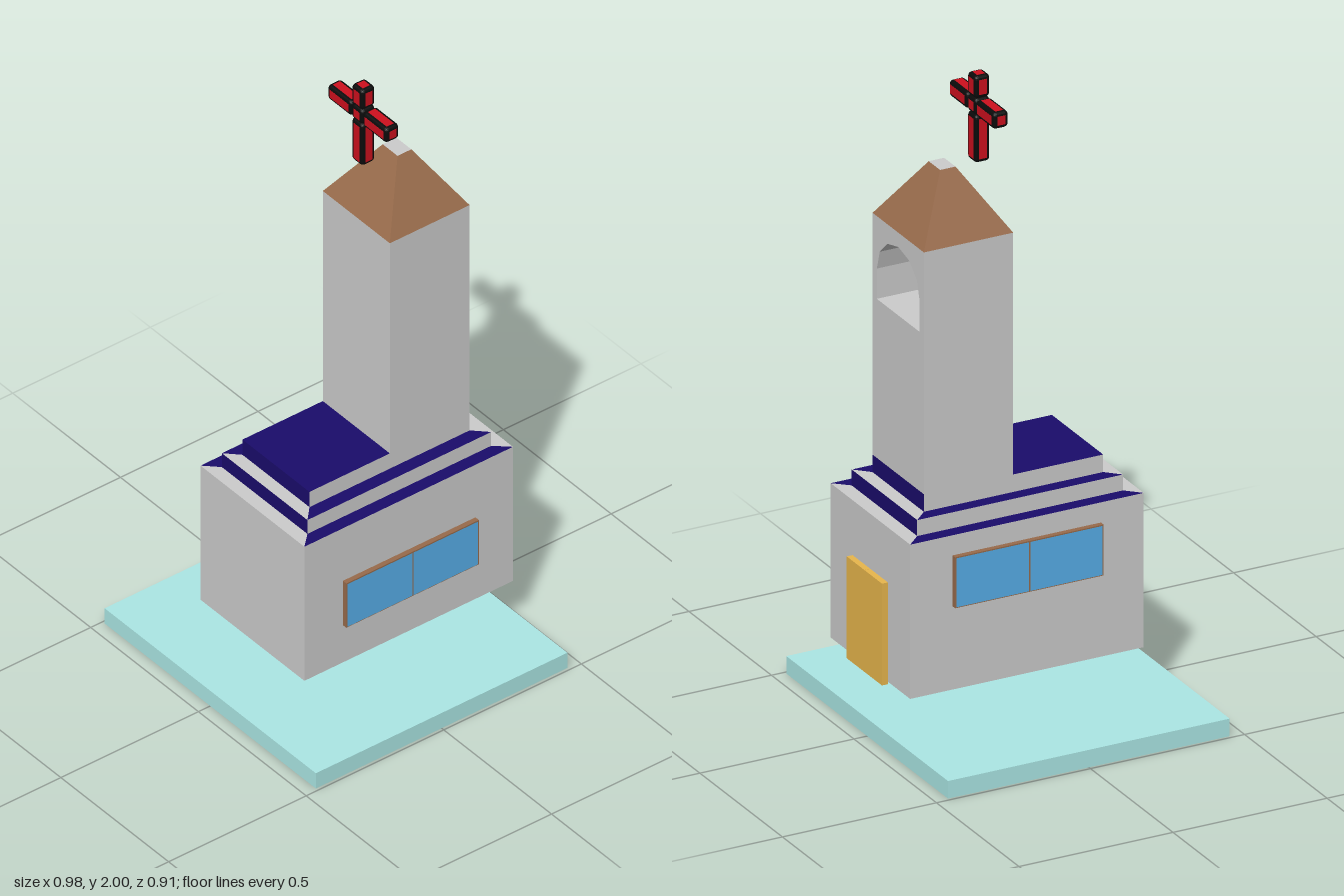
import * as THREE from 'three';
import { RoundedBoxGeometry } from 'three/addons/geometries/RoundedBoxGeometry.js';

const mat = (color) => new THREE.MeshStandardMaterial({ color, flatShading: true });

export function createModel() {
  const model = new THREE.Group();
  const grey = mat(0xcccccc), navy = mat(0x1a0c6b), brown = mat(0x986b4b);
  const teal = mat(0xabe7e5), blue = mat(0x57aee8), gold = mat(0xe8b64c);
  const red = mat(0xce101e), black = mat(0x0a0a0a);

  const add = (name, geometry, material, parent = model) => {
    const mesh = new THREE.Mesh(geometry, material);
    mesh.name = name;
    parent.add(mesh);
    return mesh;
  };

  // Box given by its extents along each axis
  const box = (name, [x0, x1], [y0, y1], [z0, z1], material, parent) => {
    const mesh = add(name, new THREE.BoxGeometry(x1 - x0, y1 - y0, z1 - z0), material, parent);
    mesh.position.set((x0 + x1) / 2, (y0 + y1) / 2, (z0 + z1) / 2);
    return mesh;
  };

  // Four quads joining two rectangles [x0, x1, z0, z1]; group 0 = front/back, 1 = sides
  const band = (name, a, ya, b, yb, materials) => {
    const ring = ([x0, x1, z0, z1], y) => [[x0, y, z1], [x1, y, z1], [x1, y, z0], [x0, y, z0]];
    const lo = ring(a, ya), hi = ring(b, yb), pos = [];
    const geometry = new THREE.BufferGeometry();
    for (let i = 0; i < 4; i++) {
      const j = (i + 1) % 4;
      for (const p of [lo[i], lo[j], hi[j], lo[i], hi[j], hi[i]]) pos.push(...p);
      geometry.addGroup(i * 6, 6, i % 2);
    }
    geometry.setAttribute('position', new THREE.Float32BufferAttribute(pos, 3));
    geometry.computeVertexNormals();
    return add(name, geometry, materials);
  };

  // Horizontal plate facing up or down
  const plate = (name, [x0, x1, z0, z1], y, material, up = true) => {
    const mesh = add(name, new THREE.PlaneGeometry(x1 - x0, z1 - z0), material);
    mesh.rotation.x = up ? -Math.PI / 2 : Math.PI / 2;
    mesh.position.set((x0 + x1) / 2, y, (z0 + z1) / 2);
  };

  // Ground slab
  box('groundSlab', [-0.49, 0.49], [0, 0.055], [-0.457, 0.457], teal);

  // Main hall and stepped roof, with mitred treads
  const levels = [
    { r: [-0.21, 0.272, -0.43, 0.328], y0: 0.195, y1: 0.68 },
    { r: [-0.167, 0.23, -0.384, 0.284], y0: 0.68, y1: 0.73 },
    { r: [-0.125, 0.186, -0.34, 0.242], y0: 0.73, y1: 0.785 },
  ];
  levels.forEach(({ r, y0, y1 }, i) => {
    band(i ? 'roofRiser' : 'hallWalls', r, y0, r, y1, i ? [navy, grey] : [grey, grey]);
    if (i < 2) band('roofTread', r, y1, levels[i + 1].r, y1, [grey, navy]);
  });
  plate('hallFloor', levels[0].r, 0.195, grey, false);
  plate('roofTop', levels[2].r, 0.785, navy);

  // Bell tower: arched niche open at the back, closed by a front wall
  const section = new THREE.Shape();
  section.moveTo(-0.125, 0.785).lineTo(0.186, 0.785).lineTo(0.186, 1.545).lineTo(-0.125, 1.545);
  const arch = new THREE.Path();
  arch.moveTo(0.16, 1.285);
  for (let i = 0; i <= 6; i++) {
    const t = (i / 6) * Math.PI;
    arch.lineTo(0.03 + 0.13 * Math.cos(t), 1.38 + 0.12 * Math.sin(t));
  }
  arch.lineTo(-0.1, 1.285);
  section.holes.push(arch);
  const tower = add('tower', new THREE.ExtrudeGeometry(section, { depth: 0.27, bevelEnabled: false }), grey);
  tower.position.z = -0.34;
  box('towerFrontWall', [-0.125, 0.186], [0.785, 1.545], [-0.07, -0.05], grey);

  // Tower roof with a flat cap
  const cap = [-0.003, 0.066, -0.222, -0.172];
  band('towerRoof', [-0.125, 0.186, -0.34, -0.05], 1.545, cap, 1.73, [brown, brown]);
  plate('towerRoofCap', cap, 1.73, grey);

  // Side windows: brown frame with two panes on the outer face
  const sideWindow = (name, x, y, z, side) => {
    const group = new THREE.Group();
    group.name = name;
    group.position.set(x, y, z);
    box('windowFrame', [-0.008, 0.008], [-0.08, 0.08], [-0.241, 0.241], brown, group);
    for (const s of [-1, 1]) {
      const pane = add('windowPane', new THREE.PlaneGeometry(0.235, 0.154), blue, group);
      pane.rotation.y = side * Math.PI / 2;
      pane.position.set(side * 0.0095, 0, s * 0.1195);
    }
    model.add(group);
  };
  sideWindow('rightWindow', 0.281, 0.411, -0.052, 1);
  sideWindow('leftWindow', -0.234, 0.545, -0.06, -1);

  // Double door on the back
  box('doorLeaf', [-0.09, 0.0165], [0.195, 0.515], [-0.457, -0.438], gold);
  box('doorLeaf', [0.0175, 0.124], [0.195, 0.515], [-0.457, -0.438], gold);

  // Cross: five rounded blocks with black edges and red faces
  const cross = new THREE.Group();
  cross.name = 'cross';
  cross.position.set(0.017, 1.903, -0.086);
  model.add(cross);
  const r = 0.012, d = 0.05;
  const block = (x0, x1, y0, y1) => {
    const size = [x1 - x0, y1 - y0, d];
    const centre = [(x0 + x1) / 2, (y0 + y1) / 2, 0];
    add('crossEdges', new RoundedBoxGeometry(...size, 2, r), black, cross).position.set(...centre);
    for (let axis = 0; axis < 3; axis++) {
      const s = size.map((v, i) => (i === axis ? v + 0.001 : v - 2 * r));
      add('crossFaces', new THREE.BoxGeometry(...s), red, cross).position.set(...centre);
    }
  };
  block(-0.026, 0.026, -0.026, 0.026);
  block(-0.137, -0.026, -0.026, 0.026);
  block(0.026, 0.137, -0.026, 0.026);
  block(-0.026, 0.026, 0.026, 0.0965);
  block(-0.026, 0.026, -0.176, -0.026);

  return model;
}
